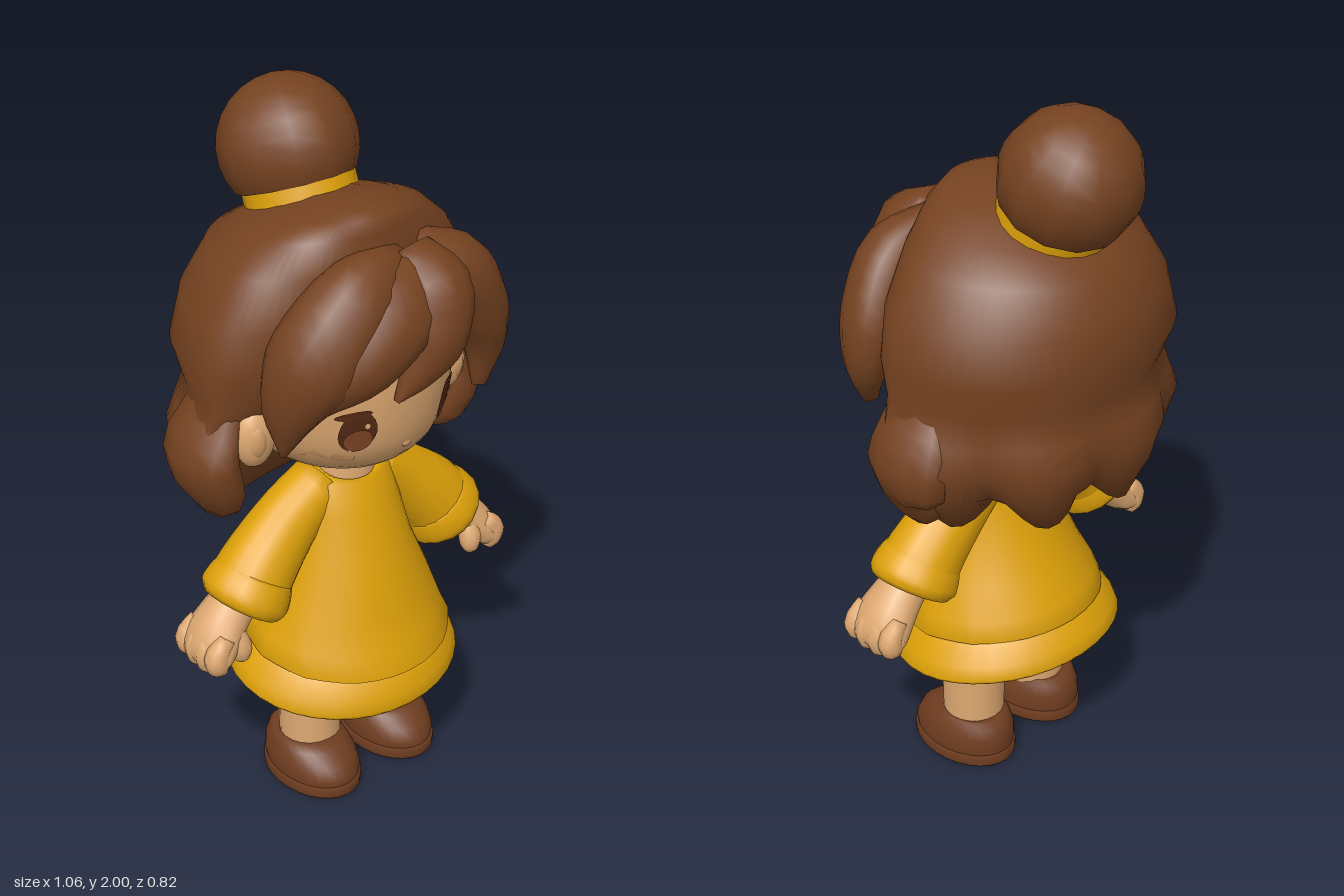
import * as THREE from 'three';

const mat = (name, color, side = THREE.FrontSide) => {
  const m = new THREE.MeshStandardMaterial({ color, side });
  m.name = name;
  return m;
};

// Skin a list of closed rings (each the same length) into a smooth surface
function loft(rings) {
  const n = rings[0].length, pos = [], idx = [];
  rings.forEach(r => r.forEach(p => pos.push(p.x, p.y, p.z)));
  for (let i = 0; i < rings.length - 1; i++)
    for (let j = 0; j < n; j++) {
      const a = i * n + j, b = i * n + (j + 1) % n;
      idx.push(a, b, a + n, b, b + n, a + n);
    }
  const g = new THREE.BufferGeometry();
  g.setAttribute('position', new THREE.Float32BufferAttribute(pos, 3));
  g.setIndex(idx);
  g.computeVertexNormals();
  return g;
}

// Stacked half-ellipse rings, top to bottom: [y, halfWidth, zWidest, zBack, zFront, frontDrop]
function stack(rows, n = 28, rule = null) {
  return loft(rows.map(([y, rx, zc, zb, zf, drop = 0], i) =>
    Array.from({ length: n }, (_, j) => {
      const a = j / n * Math.PI * 2, s = Math.sin(a);
      const p = new THREE.Vector3(rx * Math.cos(a), y - drop * s, zc + s * (s > 0 ? zf - zc : zc - zb));
      if (rule) rule(p, i, a);
      return p;
    })));
}

// Sweep an ellipse along points [x, y, z, halfWidth, halfDepth]; depth faces away from centre
function sweep(pts, centre, n = 12, steps = 10) {
  const path = new THREE.CatmullRomCurve3(pts.map(p => new THREE.Vector3(p[0], p[1], p[2])));
  const size = new THREE.CatmullRomCurve3(pts.map(p => new THREE.Vector3(p[3], p[4], 0)));
  const rings = [];
  for (let i = -1; i <= steps + 1; i++) {
    const t = Math.min(1, Math.max(0, i / steps)), end = i < 0 || i > steps;
    const P = path.getPoint(t), T = path.getTangent(t), S = size.getPoint(t);
    const N = P.clone().sub(centre);
    N.addScaledVector(T, -N.dot(T)).normalize();
    const B = N.clone().cross(T);
    const w = end ? 0 : Math.max(S.x, 0.002), d = end ? 0 : Math.max(S.y, 0.002);
    rings.push(Array.from({ length: n }, (_, j) => {
      const a = j / n * Math.PI * 2;
      return P.clone().addScaledVector(B, w * Math.cos(a)).addScaledVector(N, d * Math.sin(a));
    }));
  }
  return loft(rings);
}

// Head outline [radius, y], also used to lay the face details on the surface
const headProfile = [[0, 1.02], [0.12, 1.025], [0.2, 1.06], [0.26, 1.13], [0.288, 1.23],
  [0.3, 1.38], [0.28, 1.52], [0.18, 1.62], [0, 1.66]];
const HEAD_DEPTH = 1.1;
function faceZ(x, y) {
  const k = Math.max(1, headProfile.findIndex(p => p[1] >= y));
  const [r0, y0] = headProfile[k - 1], [r1, y1] = headProfile[k];
  const r = r0 + (r1 - r0) * (y - y0) / (y1 - y0);
  return HEAD_DEPTH * Math.sqrt(Math.max(0, r * r - x * x));
}

export function createModel() {
  const root = new THREE.Group();
  root.name = 'girl';
  const hair = mat('hair brown', 0x754220, THREE.DoubleSide);
  const skin = mat('skin', 0xdfa972);
  const yellow = mat('dress yellow', 0xdea108, THREE.DoubleSide);
  const shoe = mat('shoe brown', 0x6f3d20);
  const dark = mat('eye dark brown', 0x552a14);
  const iris = mat('iris brown', 0x854a27);
  const blush = mat('blush', 0xd59f69);

  const add = (name, geo, material, x = 0, y = 0, z = 0) => {
    const m = new THREE.Mesh(geo, material);
    m.name = name;
    m.position.set(x, y, z);
    root.add(m);
    return m;
  };
  const V = (x, y, z) => new THREE.Vector3(x, y, z);
  const skull = V(0, 1.35, 0), behind = V(0, 0.7, -50);

  // Head and neck
  const head = new THREE.LatheGeometry(
    new THREE.SplineCurve(headProfile.map(p => new THREE.Vector2(...p))).getPoints(24)
      .map(p => new THREE.Vector2(Math.max(0, p.x), p.y)), 32);
  head.scale(1, 1, HEAD_DEPTH);
  add('head', head, skin);
  add('neck', new THREE.CylinderGeometry(0.078, 0.092, 0.16, 20), skin, 0, 0.99, 0.033);
  const nose = add('nose', new THREE.SphereGeometry(0.018, 10, 8), skin, 0, 1.155, faceZ(0, 1.155) - 0.004);
  nose.scale.z = 0.5;

  // Thin face details wrapped onto the head
  const plate = (name, material, x, y, w, h, lift, turn = 0) => {
    const g = new THREE.CircleGeometry(1, 20);
    g.scale(w, h, 1).rotateZ(turn).translate(x, y, 0);
    const p = g.attributes.position;
    for (let i = 0; i < p.count; i++) p.setZ(i, faceZ(p.getX(i), p.getY(i)) + lift);
    g.computeVertexNormals();
    add(name, g, material);
  };
  for (const s of [1, -1]) {
    plate('eye', dark, s * 0.145, 1.222, 0.041, 0.066, 0.005);
    plate('iris', iris, s * 0.143, 1.197, 0.031, 0.037, 0.008);
    plate('eyeHighlight', skin, s * 0.145 + 0.014, 1.245, 0.007, 0.009, 0.009);
    plate('eyelash', dark, s * 0.16, 1.276, 0.04, 0.012, 0.007, -s * 0.25);
    plate('eyebrow', dark, s * 0.155, 1.35, 0.036, 0.009, 0.006, -s * 0.05);
    plate('cheek', blush, s * 0.18, 1.125, 0.045, 0.042, 0.004);
    const ear = add('ear', new THREE.SphereGeometry(1, 16, 12), skin, s * 0.325, 1.19, 0.075);
    ear.scale.set(0.06, 0.088, 0.045);
    const inner = add('innerEar', new THREE.SphereGeometry(1, 12, 10), blush, s * 0.335, 1.19, 0.098);
    inner.scale.set(0.03, 0.052, 0.026);
  }
  plate('mouth', iris, 0, 1.11, 0.02, 0.004, 0.005);

  // Main hair mass: hugs the back of the head, with lumpy locks ending in points
  add('hairCap', stack([
    [1.757, 0, 0.08, 0.08, 0.08], [1.753, 0.08, 0.06, -0.04, 0.155, -0.004],
    [1.73, 0.16, 0.03, -0.14, 0.185, -0.015], [1.69, 0.25, 0, -0.25, 0.2, -0.025],
    [1.62, 0.335, 0, -0.335, 0.21, -0.01], [1.5, 0.41, 0, -0.385, 0.22],
    [1.38, 0.44, 0, -0.41, 0.2], [1.28, 0.422, 0.02, -0.37, 0.16], [1.2, 0.445, 0.03, -0.39, 0.08],
    [1.13, 0.47, 0.04, -0.405, 0], [1.04, 0.435, 0.05, -0.38, -0.05], [0.95, 0.36, 0.01, -0.33, -0.08],
    [1.01, 0.32, -0.02, -0.1, -0.1],
  ], 72, (p, i, a) => {
    if (Math.sin(a) >= 0 || i < 8 || i > 11) return;
    const lump = Math.abs(Math.sin(a * 4.5));
    const k = 1 + (lump - 0.6) * 0.035 * (i - 7);
    p.x *= k;
    p.z *= k;
    if (i === 11) p.y += 0.1 * (1 - lump) - 0.02;
  }), hair);

  // Side locks flaring over the shoulders, blending into the cap
  for (const s of [1, -1])
    add('sideLock', sweep([[s * 0.35, 1.34, -0.02, 0.06, 0.03], [s * 0.385, 1.22, -0.025, 0.115, 0.055],
      [s * 0.42, 1.12, -0.03, 0.13, 0.078], [s * 0.395, 1.03, -0.02, 0.115, 0.068],
      [s * 0.355, 0.96, -0.05, 0.06, 0.055]], V(0, 1.1, -0.03), 10), hair);

  // Swept fringe
  [
    [[0.04, 1.62, 0.2, 0.06, 0.05], [-0.13, 1.575, 0.235, 0.11, 0.1], [-0.245, 1.45, 0.23, 0.125, 0.095],
      [-0.3, 1.32, 0.2, 0.085, 0.065], [-0.31, 1.18, 0.18, 0.01, 0.02]],
    [[0.06, 1.62, 0.24, 0.05, 0.05], [-0.05, 1.54, 0.29, 0.12, 0.08], [-0.16, 1.44, 0.29, 0.1, 0.08],
      [-0.25, 1.34, 0.24, 0.05, 0.05], [-0.29, 1.25, 0.2, 0.01, 0.02]],
    [[0.07, 1.66, 0.22, 0.06, 0.03], [0.085, 1.57, 0.31, 0.095, 0.075], [0.05, 1.46, 0.335, 0.09, 0.075],
      [-0.01, 1.38, 0.34, 0.055, 0.045], [-0.075, 1.315, 0.335, 0.006, 0.01]],
    [[0.1, 1.64, 0.18, 0.06, 0.04], [0.23, 1.55, 0.215, 0.095, 0.085], [0.315, 1.42, 0.205, 0.1, 0.08],
      [0.345, 1.3, 0.2, 0.075, 0.06], [0.325, 1.17, 0.21, 0.008, 0.02]],
  ].forEach(p => add('fringeLock', sweep(p, skull, 14, 14), hair));

  // Bun with a flat underside, seated on its tilted band
  const bun = add('bun', new THREE.SphereGeometry(0.187, 12, 9, 0, Math.PI * 2, 0, 2.1), hair, 0, 1.815, -0.19);
  const band = add('bunBand', new THREE.CylinderGeometry(0.15, 0.152, 0.062, 20), yellow, 0, 1.716, -0.145);
  bun.rotation.x = band.rotation.x = -0.37;

  // Dress: bodice with upper tier, then lower tier, both hems dropping at the front
  const pleat = first => (p, i, a) => {
    if (i >= first) p.x *= 1 + 0.012 * Math.cos(a * 12);
  };
  add('dressBody', stack([
    [0.985, 0.078, 0.03, -0.045, 0.108, 0.035], [1.0, 0.105, 0.03, -0.06, 0.125, 0.035],
    [0.975, 0.138, 0.03, -0.07, 0.14, 0.015],
    [0.88, 0.155, 0.04, -0.08, 0.172], [0.75, 0.18, 0.06, -0.105, 0.218, 0.005],
    [0.61, 0.24, 0.06, -0.165, 0.267, 0.015], [0.52, 0.278, 0.05, -0.205, 0.295, 0.03],
    [0.468, 0.298, 0.05, -0.225, 0.33, 0.03], [0.46, 0.28, 0.05, -0.21, 0.31, 0.03],
  ], 36, pleat(6)), yellow);
  add('dressHem', stack([
    [0.53, 0.2, 0.05, -0.14, 0.22, 0.03], [0.47, 0.285, 0.04, -0.215, 0.3, 0.035],
    [0.405, 0.328, 0.03, -0.258, 0.328, 0.04], [0.37, 0.343, 0.03, -0.27, 0.335, 0.04],
    [0.357, 0.335, 0.03, -0.262, 0.325, 0.04], [0.365, 0.315, 0.03, -0.245, 0.305, 0.04],
    [0.45, 0.22, 0.03, -0.16, 0.22, 0.03], [0.48, 0, 0.03, 0.03, 0.03],
  ], 36, pleat(9)), yellow);

  for (const s of [1, -1]) {
    // Sleeve and rolled cuff
    add('sleeve', sweep([[s * 0.07, 0.945, 0.03, 0.075, 0.08], [s * 0.18, 0.865, 0.03, 0.093, 0.088],
      [s * 0.295, 0.76, 0.04, 0.11, 0.105], [s * 0.35, 0.69, 0.045, 0.117, 0.115]], behind, 18), yellow);
    add('cuff', sweep([[s * 0.305, 0.75, 0.043, 0.108, 0.104], [s * 0.325, 0.722, 0.044, 0.12, 0.118],
      [s * 0.346, 0.692, 0.045, 0.126, 0.124], [s * 0.362, 0.668, 0.045, 0.11, 0.11]], behind, 18, 8), yellow);
    // Mitten-like hand with four short fingers and a thumb
    add('hand', sweep([[s * 0.355, 0.705, 0.045, 0.06, 0.065], [s * 0.41, 0.66, 0.045, 0.062, 0.075],
      [s * 0.455, 0.61, 0.048, 0.062, 0.09], [s * 0.48, 0.57, 0.05, 0.053, 0.095],
      [s * 0.487, 0.545, 0.05, 0.034, 0.08]], behind), skin);
    for (let i = 0; i < 4; i++) {
      const z = -0.016 + i * 0.044, drop = i === 0 || i === 3 ? 0.01 : 0;
      add('finger', sweep([[s * 0.46, 0.635, z, 0.025, 0.022], [s * 0.495, 0.59, z, 0.036, 0.031],
        [s * 0.49, 0.55 + drop, z, 0.034, 0.03], [s * 0.475, 0.525 + drop, z, 0.014, 0.014]], behind, 10, 8), skin);
    }
    add('thumb', sweep([[s * 0.425, 0.645, 0.085, 0.028, 0.028], [s * 0.415, 0.59, 0.108, 0.034, 0.032],
      [s * 0.412, 0.558, 0.11, 0.027, 0.027], [s * 0.41, 0.54, 0.108, 0.01, 0.01]], behind, 10, 8), skin);
    // Leg
    add('leg', new THREE.CylinderGeometry(0.092, 0.088, 0.4, 20), skin, s * 0.126, 0.3, 0.042);
    // Shoe upper and sole
    add('shoe', stack([
      [0.128, 0, 0.04, 0.04, 0.04], [0.132, 0.075, 0.04, -0.055, 0.115], [0.136, 0.087, 0.04, -0.068, 0.13],
      [0.122, 0.1, 0.05, -0.084, 0.17], [0.09, 0.112, 0.06, -0.096, 0.21],
      [0.055, 0.117, 0.065, -0.097, 0.229], [0.03, 0.114, 0.065, -0.094, 0.226],
    ]), shoe, s * 0.138);
    add('sole', stack([
      [0.038, 0, 0.065, 0.065, 0.065], [0.038, 0.116, 0.065, -0.096, 0.229], [0.03, 0.121, 0.065, -0.1, 0.234],
      [0.006, 0.12, 0.065, -0.1, 0.233], [0, 0.116, 0.065, -0.096, 0.228], [0, 0, 0.065, 0.065, 0.065],
    ]), shoe, s * 0.138);
  }
  return root;
}
